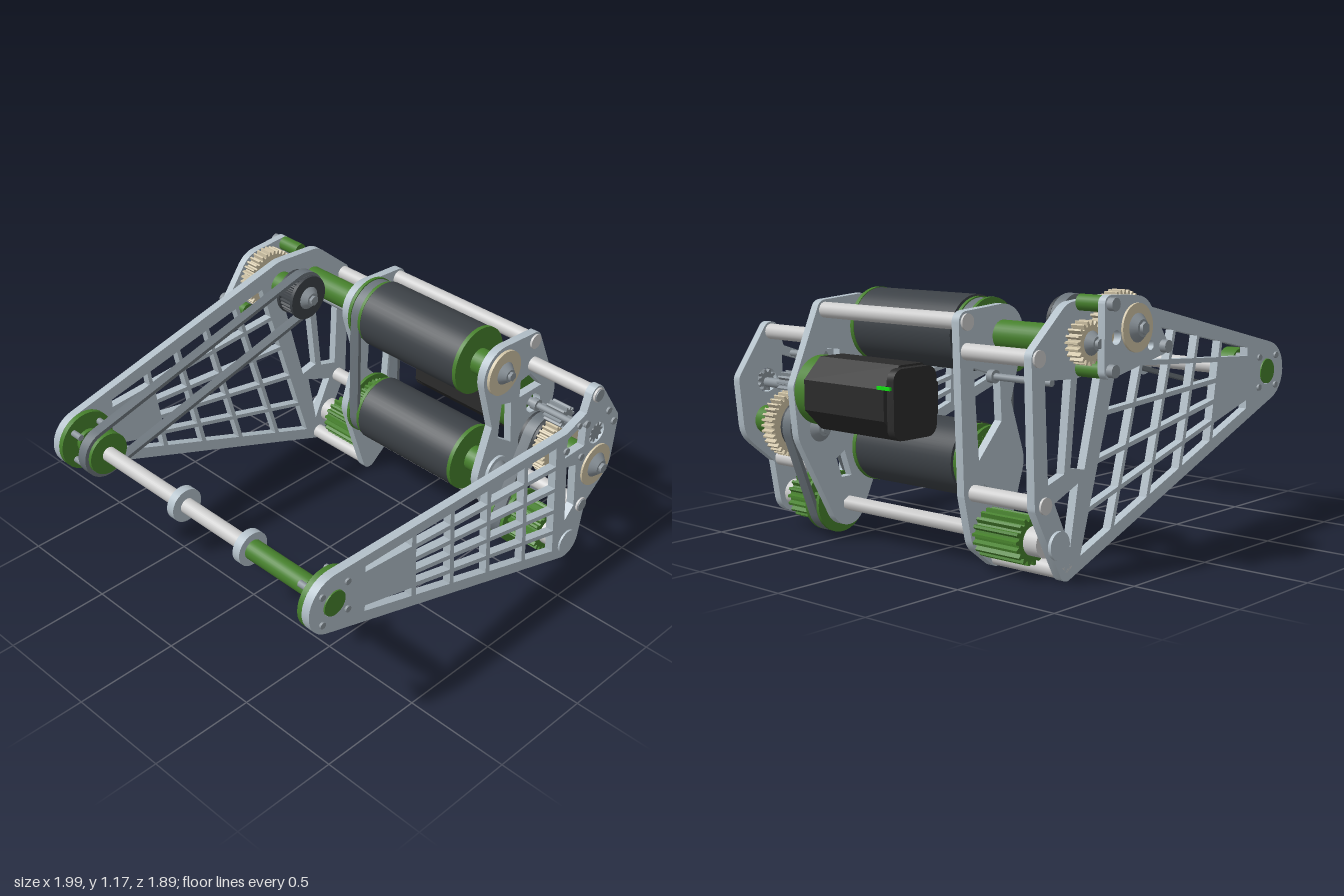
import * as THREE from 'three';
import { toCreasedNormals } from 'three/addons/utils/BufferGeometryUtils.js';

const paint = (color) => new THREE.MeshStandardMaterial({ color });
const GREY = paint(0xcccccc), PLATE = paint(0xb2bfc8), GREEN = paint(0x46802c), DARK = paint(0x3c4146);
const BLACK = paint(0x2b2b2b), BELT = paint(0x6a737a), BEIGE = paint(0xcfc3a6), STEEL = paint(0x8b949b), LED = paint(0x10e010);

// Main axes as [x, y]
const PIVOT = [-0.86, 0.72], TOP = [0.58, 0.98], LOW = [0.58, 0.44], HEX = [0.68, 0.165];
const GEAR = [0.84, 0.53], MOTOR = [0.83, 0.7], BACK = [0.37, 1.03];

const V = (p) => new THREE.Vector2(p[0], p[1]);

// Counter-clockwise outline wrapped round circles [x, y, r]; r = 0 gives a plain corner
function wrap(circles) {
  const n = circles.length;
  const normals = circles.map((a, i) => {
    const b = circles[(i + 1) % n];
    const dx = b[0] - a[0], dy = b[1] - a[1];
    return Math.atan2(dy, dx) - Math.acos((a[2] - b[2]) / Math.hypot(dx, dy));
  });
  const pts = [];
  circles.forEach(([x, y, r], i) => {
    if (!r) { pts.push([x, y]); return; }
    const from = normals[(i + n - 1) % n];
    const turn = (((normals[i] - from) % (2 * Math.PI)) + 2 * Math.PI) % (2 * Math.PI);
    const steps = Math.max(2, Math.ceil(turn / 0.2));
    for (let k = 0; k <= steps; k++) {
      const a = from + (turn * k) / steps;
      pts.push([x + r * Math.cos(a), y + r * Math.sin(a)]);
    }
  });
  return pts;
}

const ring = ([x, y], r, n = 28) => Array.from({ length: n }, (_, i) => {
  const a = (i / n) * 2 * Math.PI;
  return [x + r * Math.cos(a), y + r * Math.sin(a)];
});

// Window openings between the bottom edge a-b and the top edge d-c
function fan(a, b, c, d) {
  const at = (u, t) => {
    const lo = V(a).lerp(V(b), u), hi = V(d).lerp(V(c), u);
    const p = lo.lerp(hi, t);
    return [p.x, p.y];
  };
  const stations = [0, 0.24, 0.43, 0.62, 0.82, 1], rows = 5, w = 0.011, holes = [];
  for (let i = 0; i < 5; i++) for (let j = 0; j < rows; j++) {
    if (i === 0 && j > 0 && j < rows - 1) continue; // solid web next to the pivot
    const u0 = stations[i] + 0.01, u1 = stations[i + 1] - 0.01;
    const dt = (u) => w / V(at(u, 0)).distanceTo(V(at(u, 1)));
    const t0 = j / rows, t1 = (j + 1) / rows;
    holes.push([at(u0, t0 + dt(u0)), at(u1, t0 + dt(u1)), at(u1, t1 - dt(u1)), at(u0, t1 - dt(u0))]);
  }
  return holes;
}

export function createModel() {
  const root = new THREE.Group();
  const add = (name, geo, mat) => {
    const m = new THREE.Mesh(geo, mat);
    m.name = name;
    root.add(m);
    return m;
  };
  const slab = (name, pts, holes, z0, z1, mat) => {
    const shape = new THREE.Shape(pts.map(V));
    shape.holes = holes.map((h) => new THREE.Path(h.map(V)));
    const geo = new THREE.ExtrudeGeometry(shape, { depth: z1 - z0, bevelEnabled: false });
    geo.translate(0, 0, z0);
    return add(name, toCreasedNormals(geo, 0.6), mat);
  };
  // Cylinder along z; rEnd is the radius at z1
  const cyl = (name, [x, y], z0, z1, r, mat, seg = 32, rEnd = r) => {
    const geo = new THREE.CylinderGeometry(rEnd, r, z1 - z0, seg);
    geo.rotateX(Math.PI / 2).translate(x, y, (z0 + z1) / 2);
    return add(name, geo, mat);
  };
  const gear = (name, c, z0, z1, r, teeth, depth, mat) => {
    const pts = [];
    for (let i = 0; i < teeth; i++) [[0, 1], [0.3, 1], [0.5, 0], [0.8, 0]].forEach(([f, k]) => {
      const a = ((i + f) / teeth) * 2 * Math.PI, q = r - (k ? 0 : depth);
      pts.push([c[0] + q * Math.cos(a), c[1] + q * Math.sin(a)]);
    });
    slab(name, pts, [], z0, z1, mat);
  };
  const belt = (name, a, ra, b, rb, z0, z1) =>
    slab(name, wrap([[...a, ra], [...b, rb]]), [wrap([[...a, ra - 0.018], [...b, rb - 0.018]])], z0, z1, BELT);
  const bolt = (c, z, dir, r = 0.05) => {
    const zs = [z, z + dir * 0.03].sort((p, q) => p - q);
    cyl('boltHead', c, ...zs, dir > 0 ? r : r * 0.55, STEEL, 24, dir > 0 ? r * 0.55 : r);
    const tip = [z + dir * 0.03, z + dir * 0.045].sort((p, q) => p - q);
    cyl('boltTip', c, ...tip, r * 0.4, STEEL, 6);
  };

  // Outer side plates
  slab('frontSidePlate', wrap([[...PIVOT, 0.14], [...HEX, 0.09], [0.8, 0.33, 0], [...GEAR, 0.13], [0.94, 0.72, 0.05],
    [0.8, 0.93, 0.045], [0.73, 0.86, 0], [0.6, 0.815, 0]]), [
    ...fan([-0.7, 0.565], [0.59, 0.145], [0.54, 0.78], [-0.7, 0.815]),
    [[0.65, 0.3], [0.71, 0.36], [0.69, 0.6], [0.62, 0.62]],
    [[0.6, 0.68], [0.74, 0.68], [0.74, 0.82], [0.61, 0.78]],
    ring([0.83, 0.71], 0.055), ring(PIVOT, 0.06)], 0.85, 0.89, PLATE);
  slab('backSidePlate', wrap([[...PIVOT, 0.14], [0.62, 0.05, 0.045], [0.76, 0.34, 0.06], [0.79, 0.93, 0.05],
    [0.58, 1.03, 0.11], [...BACK, 0.125]]), [
    ...fan([-0.7, 0.555], [0.55, 0.08], [0.25, 1.06], [-0.7, 0.855]),
    [[0.4, 0.86], [0.51, 0.45], [0.6, 0.47], [0.56, 0.83]],
    [[0.64, 0.45], [0.74, 0.42], [0.76, 0.84], [0.6, 0.83]],
    [[0.6, 0.14], [0.7, 0.34], [0.55, 0.4]], ring(PIVOT, 0.06)], -0.75, -0.71, PLATE);

  // Inner plates that carry the rollers
  slab('frontInnerPlate', wrap([[...LOW, 0.13], [...HEX, 0.1], [...GEAR, 0.13], [0.94, 0.72, 0.05],
    [0.8, 1.05, 0.045], [...TOP, 0.13], [0.53, 0.7, 0]]), [
    [[0.58, 0.62], [0.68, 0.55], [0.66, 0.78], [0.59, 0.8]],
    [[0.72, 0.78], [0.88, 0.78], [0.79, 0.88], [0.72, 0.87]],
    [[0.66, 0.29], [0.72, 0.29], [0.75, 0.38], [0.7, 0.41]], ring([0.83, 0.7], 0.05)], 0.48, 0.52, PLATE);
  slab('backInnerPlate', wrap([[...LOW, 0.13], [0.62, 0.05, 0.045], [...HEX, 0.1], [0.76, 0.34, 0.06],
    [0.8, 1.05, 0.045], [...TOP, 0.13], [0.53, 0.7, 0]]), [
    [[0.59, 0.62], [0.73, 0.47], [0.76, 0.86], [0.6, 0.81]],
    [[0.6, 0.28], [0.7, 0.3], [0.7, 0.37], [0.62, 0.31]]], -0.37, -0.33, PLATE);

  // Spacer rods with end bolts
  cyl('upperLongRod', [0.8, 1.05], -0.38, 0.53, 0.035, GREY);
  for (const c of [[0.8, 0.93], [0.76, 0.34]]) {
    cyl('frontSpacerRod', c, 0.5, 0.9, 0.035, GREY);
    cyl('backSpacerRod', c, -0.76, -0.35, 0.035, GREY);
    cyl('rodBolt', c, 0.89, 0.905, 0.03, STEEL, 16);
  }
  cyl('lowerSpacerRod', [0.62, 0.045], -0.75, -0.35, 0.035, GREY);
  cyl('hexShaft', HEX, -0.74, 0.88, 0.034, GREY, 6);

  // Pivot axle with collars, sleeve and end hubs
  cyl('pivotAxle', PIVOT, -0.75, 0.89, 0.035, GREY);
  for (const z of [-0.015, 0.4]) cyl('axleCollar', PIVOT, z - 0.02, z + 0.02, 0.078, PLATE);
  cyl('axleSleeve', PIVOT, 0.42, 0.76, 0.045, GREEN);
  for (const [z, s] of [[0.85, -1], [-0.71, 1]]) {
    cyl('pivotHub', PIVOT, Math.min(z, z + s * 0.025), Math.max(z, z + s * 0.025), 0.14, GREEN);
    cyl('pivotBoss', PIVOT, z - 0.045, z + 0.045, 0.058, GREEN);
    for (let k = 0; k < 4; k++) {
      const a = Math.PI * (0.25 + k / 2);
      const c = [PIVOT[0] + 0.1 * Math.cos(a), PIVOT[1] + 0.1 * Math.sin(a)];
      cyl('hubStud', c, Math.min(z - s * 0.05, z + s * 0.08), Math.max(z - s * 0.05, z + s * 0.08), 0.015, STEEL, 12);
    }
  }
  cyl('beltHub', PIVOT, -0.61, -0.53, 0.1, GREEN);

  // Two belt-driven rollers
  for (const c of [TOP, LOW]) {
    cyl('roller', c, -0.22, 0.36, 0.162, DARK, 48);
    cyl('rollerEndDisc', c, 0.36, 0.38, 0.165, GREEN, 48);
    cyl('rollerSleeve', c, 0.36, 0.48, 0.062, GREEN);
    for (const z of [-0.235, -0.3]) cyl('pulleyFlange', c, z - 0.008, z + 0.008, 0.155, GREEN, 40);
    gear('rollerPulley', c, -0.31, -0.22, 0.13, 30, 0.012, GREEN);
    cyl('rollerShaft', c, -0.36, 0.54, 0.03, STEEL, 16);
    cyl('rollerBearing', c, 0.52, 0.535, c === TOP ? 0.11 : 0.075, c === TOP ? BEIGE : PLATE);
    bolt(c, 0.535, 1, 0.055);
  }
  belt('rollerBelt', TOP, 0.15, LOW, 0.15, -0.295, -0.24);
  cyl('topDriveSleeve', TOP, -0.71, -0.37, 0.064, GREEN);

  // Lower toothed pulleys on the hex shaft
  gear('frontLowerPulley', HEX, 0.53, 0.78, 0.105, 18, 0.018, GREEN);
  gear('backLowerPulley', HEX, -0.62, -0.38, 0.105, 18, 0.018, GREEN);
  for (const z of [0.535, 0.61]) cyl('lowerFlange', HEX, z - 0.008, z + 0.008, 0.14, GREEN, 40);
  for (const [z0, z1] of [[0.78, 0.85], [-0.69, -0.62]]) cyl('shaftCollar', HEX, z0, z1, 0.062, GREY);
  for (const z of [0.885, -0.765]) cyl('shaftBearing', HEX, z, z + 0.015, 0.06, PLATE);
  belt('lowerBelt', HEX, 0.14, GEAR, 0.118, 0.545, 0.6);

  // Motor with output pinion
  const body = ring(MOTOR, 0.172, 8).map(([x, y]) => {
    const dx = x - MOTOR[0], dy = y - MOTOR[1], c = Math.cos(Math.PI / 8), s = Math.sin(Math.PI / 8);
    return [MOTOR[0] + dx * c - dy * s, MOTOR[1] + dx * s + dy * c];
  });
  slab('motorBody', body, [], -0.08, 0.41, BLACK);
  slab('motorEndCap', wrap([[0.77, 0.6, 0.05], [0.92, 0.6, 0.05], [0.92, 0.8, 0.05], [0.77, 0.8, 0.05]]), [], -0.12, -0.08, BLACK);
  cyl('motorMount', MOTOR, 0.41, 0.48, 0.155, GREEN, 40);
  cyl('motorShaft', MOTOR, 0.48, 0.87, 0.022, STEEL, 16);
  gear('motorPinion', [0.83, 0.71], 0.62, 0.72, 0.055, 12, 0.015, STEEL);
  gear('shaftEndPinion', [0.83, 0.71], 0.85, 0.885, 0.05, 10, 0.014, STEEL);
  const led = add('motorLight', new THREE.BoxGeometry(0.012, 0.014, 0.075), LED);
  led.position.set(0.985, 0.772, -0.079);

  // Front reduction gear and its dark pulley
  gear('reductionGear', GEAR, 0.635, 0.705, 0.15, 36, 0.018, BEIGE);
  gear('beltPulley', GEAR, 0.53, 0.62, 0.1, 28, 0.01, DARK);
  for (const z of [0.535, 0.61]) cyl('pulleyRim', GEAR, z - 0.008, z + 0.008, 0.112, DARK);
  cyl('gearSleeve', GEAR, 0.705, 0.85, 0.065, GREEN);
  cyl('gearBearing', GEAR, 0.89, 0.9, 0.105, BEIGE);
  bolt(GEAR, 0.9, 1, 0.062);
  bolt(GEAR, 0.48, -1, 0.062);

  // Long belt drive on the back plate
  gear('longBeltPulley', BACK, -0.61, -0.53, 0.105, 30, 0.01, DARK);
  for (const z of [-0.615, -0.525]) cyl('longPulleyRim', BACK, z - 0.008, z + 0.008, 0.11, DARK);
  cyl('longPulleySleeve', BACK, -0.71, -0.62, 0.065, GREEN);
  belt('longBelt', BACK, 0.122, PIVOT, 0.12, -0.595, -0.545);
  bolt(BACK, -0.52, 1, 0.06);

  // Outboard gear pair and its bracket
  gear('largeOutboardGear', BACK, -0.84, -0.775, 0.15, 36, 0.018, BEIGE);
  gear('smallOutboardGear', TOP, -0.84, -0.775, 0.09, 20, 0.018, BEIGE);
  cyl('outboardShaft', BACK, -0.9, -0.5, 0.03, STEEL, 16);
  cyl('smallGearShaft', TOP, -0.86, -0.7, 0.03, STEEL, 16);
  bolt(TOP, -0.84, -1, 0.05);
  const posts = [[0.185, 0.94], [0.54, 0.87], [0.54, 1.135]];
  slab('outboardBracket', wrap([[...posts[0], 0.035], [...posts[1], 0.035], [...posts[2], 0.035], [...BACK, 0.13]]),
    [ring([0.27, 0.95], 0.02, 12), ring([0.5, 1.0], 0.03, 16)], -0.9, -0.865, PLATE);
  for (const p of posts) {
    cyl('bracketPost', p, -0.865, -0.75, 0.034, GREEN, 24);
    cyl('postBolt', p, -0.93, -0.9, 0.027, STEEL, 16);
  }
  cyl('bracketBearing', BACK, -0.91, -0.9, 0.1, BEIGE);
  bolt(BACK, -0.905, -1, 0.065);

  // Stray clamp bolts beside the outer plates
  for (const [z0, z1, head] of [[0.66, 0.9, 0.63], [-0.72, -0.42, -0.42]]) {
    cyl('clampBolt', [0.68, 0.82], z0, z1, 0.015, STEEL, 12);
    cyl('clampBoltHead', [0.68, 0.82], head, head + 0.03, 0.028, STEEL, 16);
  }
  for (const c of [[0.6, 0.72], [0.74, 0.8], [0.9, 0.8], [0.95, 0.72], [0.72, 0.63]])
    cyl('plateScrew', c, 0.885, 0.9, 0.018, STEEL, 12);
  return root;
}
